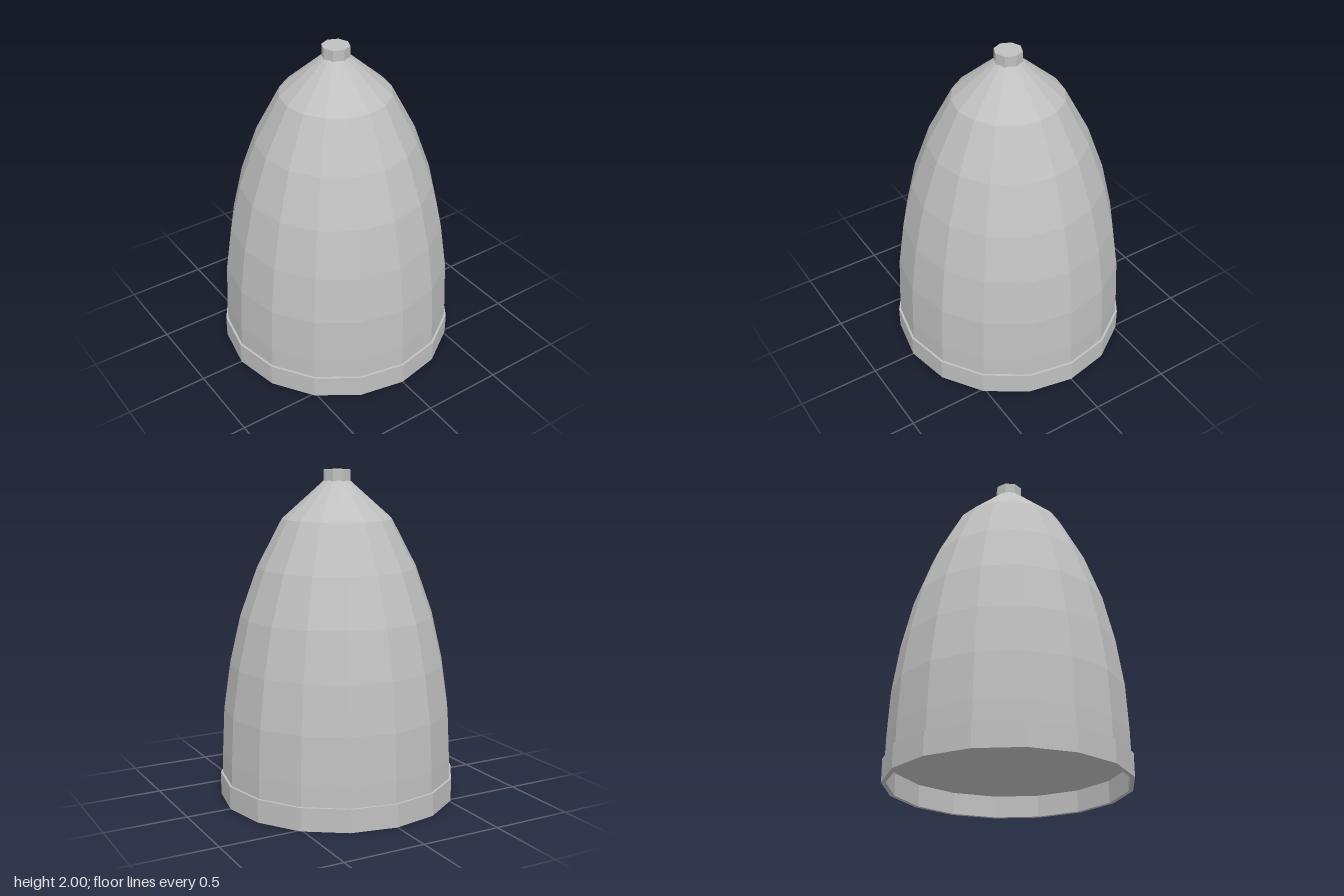
import * as THREE from 'three';

const SIDES = 16;

// Faceted solid turned from [radius, y] points, listed bottom to top on the outside
function turned(name, profile, sides, material) {
  const points = profile.map(([r, y]) => new THREE.Vector2(r, y));
  const mesh = new THREE.Mesh(new THREE.LatheGeometry(points, sides), material);
  mesh.name = name;
  return mesh;
}

export function createModel() {
  const grey = new THREE.MeshStandardMaterial({ color: 0xc0c0c0 });
  grey.name = 'light grey';
  grey.flatShading = true;

  const model = new THREE.Group();
  model.name = 'domeCover';

  // Tall faceted dome, closed by a flat floor recessed inside the base ring
  model.add(turned('dome', [
    [0, 0.135], [0.713, 0.135], [0.711, 0.27], [0.697, 0.55], [0.655, 0.84],
    [0.588, 1.13], [0.484, 1.42], [0.332, 1.71], [0.07, 1.943],
  ], SIDES, grey));

  // Base ring, open in the middle
  model.add(turned('baseRing', [
    [0.7, 0.14], [0.7, 0], [0.727, 0], [0.727, 0.14], [0.7, 0.14],
  ], SIDES, grey));

  // Small octagonal knob on the tip
  model.add(turned('tipKnob', [
    [0, 1.93], [0.083, 1.93], [0.083, 2], [0, 2],
  ], 8, grey));

  return model;
}
